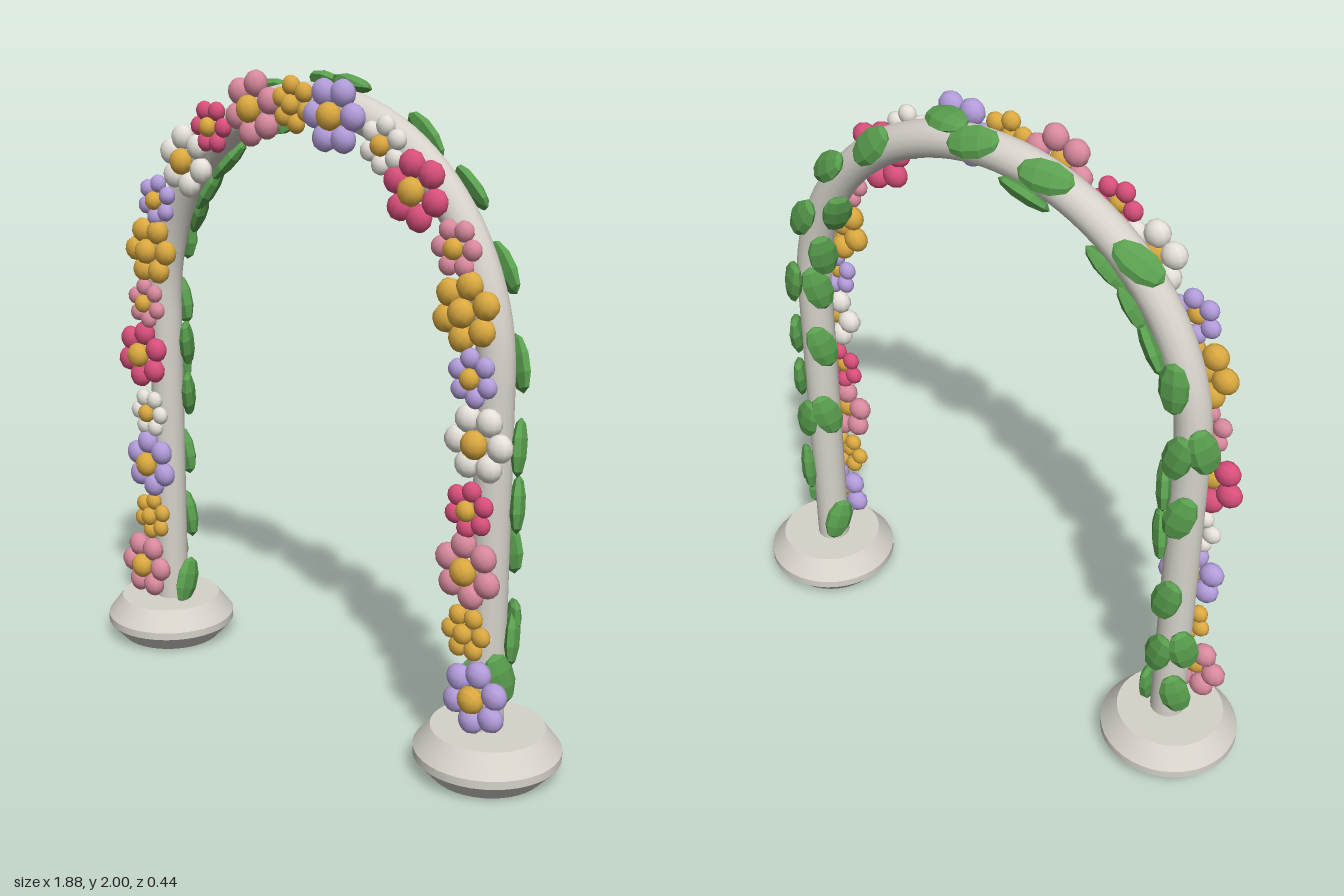
import * as THREE from 'three';

const mat = (name, color, flatShading = false) => {
  const m = new THREE.MeshStandardMaterial({ color, flatShading });
  m.name = name;
  return m;
};

const add = (parent, name, geometry, material, x = 0, y = 0, z = 0) => {
  const mesh = new THREE.Mesh(geometry, material);
  mesh.name = name;
  mesh.position.set(x, y, z);
  parent.add(mesh);
  return mesh;
};

// Arch centreline: straight leg, half circle, straight leg, measured by length from the -x foot
const R = 0.71, SPRING = 1.2, LENGTH = 2 * SPRING + Math.PI * R;
function archPoint(s) {
  const angle = Math.PI - THREE.MathUtils.clamp((s - SPRING) / R, 0, Math.PI);
  const legY = Math.min(s, LENGTH - s, SPRING);
  return { angle, position: new THREE.Vector3(R * Math.cos(angle), legY + R * Math.sin(angle), 0) };
}

export function createModel() {
  const model = new THREE.Group();
  model.name = 'flowerArch';

  const stone = mat('stone', 0xd6d2ca);
  const leafGreen = mat('leafGreen', 0x5aa04f, true);
  const pink = mat('pink', 0xd98a9e);
  const yellow = mat('yellow', 0xdba940);
  const purple = mat('purple', 0xb39ddb);
  const white = mat('white', 0xe6e2da);
  const crimson = mat('crimson', 0xd94f7c);

  // Arch tube
  const points = [];
  for (let i = 0; i <= 60; i++) {
    points.push(archPoint(THREE.MathUtils.lerp(0.1, LENGTH - 0.1, i / 60)).position);
  }
  const path = new THREE.CatmullRomCurve3(points);
  add(model, 'archTube', new THREE.TubeGeometry(path, 96, 0.055, 16), stone);

  // Round bases, one lathe per band so the rims stay sharp
  const profile = [[0, 0], [0.17, 0], [0.22, 0.055], [0.22, 0.08], [0.17, 0.145], [0, 0.145]]
    .map(([r, y]) => new THREE.Vector2(r, y));
  for (const side of [-1, 1]) {
    const base = new THREE.Group();
    base.name = side > 0 ? 'leftBase' : 'rightBase';
    base.position.x = side * 0.72;
    for (let i = 0; i < profile.length - 1; i++) {
      add(base, 'baseBand', new THREE.LatheGeometry(profile.slice(i, i + 2), 40), stone);
    }
    model.add(base);
  }

  // Flowers: mirrored spots from foot to crown, alternating big and small
  const petalGeo = new THREE.SphereGeometry(1, 10, 7);
  const flowerColors = [pink, yellow, purple, white, crimson];
  const flowerSpots = [
    [0.74, 0.27], [0.7, 0.46], [0.7, 0.65], [0.7, 0.83], [0.727, 1.03], [0.7, 1.21],
    [0.67, 1.39], [0.632, 1.56], [0.482, 1.7], [0.36, 1.815], [0.168, 1.883], [0.005, 1.905],
  ];
  for (let i = 0; i < 23; i++) {
    const [x, y] = flowerSpots[11 - Math.abs(i - 11)];
    const big = i % 2 === 0;
    const flower = new THREE.Group();
    flower.name = big ? 'bigFlower' : 'smallFlower';
    flower.position.set(i < 11 ? -x : x, y, 0.09);
    flower.rotation.z = i * 0.35;
    flower.scale.setScalar(big ? 1 : 0.74);
    for (let k = 0; k < 6; k++) {
      const a = k * Math.PI / 3;
      add(flower, 'petal', petalGeo, flowerColors[i % 5], 0.075 * Math.cos(a), 0.075 * Math.sin(a))
        .scale.set(0.041, 0.041, 0.032);
    }
    add(flower, 'flowerCentre', petalGeo, yellow, 0, 0, 0.02).scale.set(0.042, 0.042, 0.034);
    model.add(flower);
  }

  // Leaves: length along the arch, degrees round the tube (0 outward, 90 back, 180 inward)
  const leafGeo = new THREE.SphereGeometry(1, 7, 5);
  leafGeo.scale(0.05, 0.085, 0.024);
  const leaves = [
    [0.21, 175], [0.27, 45], [0.43, 100], [0.46, 35], [0.66, 90], [0.88, 140], [0.99, 75],
    [1.06, 145], [1.2, 95], [1.23, 35], [1.43, 90], [1.55, 140], [1.67, 150], [1.78, 40],
    [1.82, 150], [2.1, 50], [2.15, 135], [2.33, 55], [2.44, 15], [2.7, 70], [2.91, 55],
    [3.05, 150], [3.14, 70], [3.26, 150], [3.4, 65], [3.4, 140], [3.63, 30], [3.63, 140],
    [3.8, 35], [3.91, 140], [3.94, 80], [4.17, 55], [4.2, 30], [4.31, -20], [4.38, 150],
  ];
  leaves.forEach(([s, degrees], i) => {
    const { angle, position } = archPoint(s);
    const phi = THREE.MathUtils.degToRad(degrees);
    const sprig = new THREE.Group();
    sprig.name = 'leafSprig';
    sprig.position.copy(position);
    sprig.rotation.z = angle - Math.PI;
    // Each leaf lies flat against the tube with a small alternating twist
    add(sprig, 'leaf', leafGeo, leafGreen, -0.072 * Math.cos(phi), 0, -0.072 * Math.sin(phi))
      .rotation.set(0, Math.atan2(-Math.cos(phi), -Math.sin(phi)), i % 2 ? 0.3 : -0.3);
    model.add(sprig);
  });
  return model;
}
